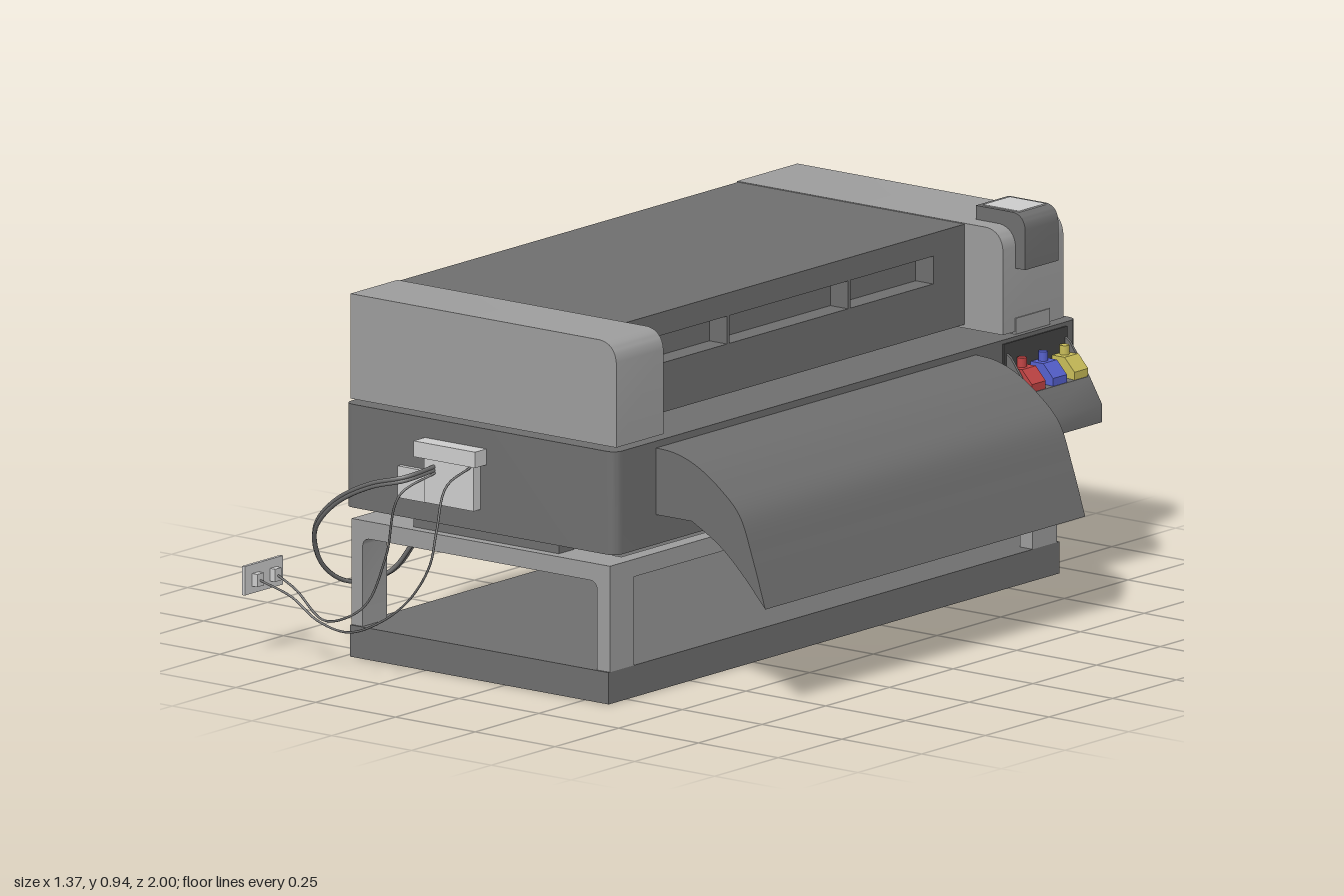
import * as THREE from 'three';
import { toCreasedNormals } from 'three/addons/utils/BufferGeometryUtils.js';

const mat = (color) => new THREE.MeshStandardMaterial({ color, side: THREE.DoubleSide });
const points2 = (list) => list.map((p) => new THREE.Vector2(...p));

export function createModel() {
  const model = new THREE.Group();
  const light = mat(0xcccccc), mid = mat(0x9c9c9c), dark = mat(0x6e6e6e), black = mat(0x444444);

  const add = (name, geometry, material) => {
    const mesh = new THREE.Mesh(geometry, material);
    mesh.name = name;
    model.add(mesh);
  };
  // box given by its extents
  const box = (name, [x0, x1], [y0, y1], [z0, z1], material) => add(name,
    new THREE.BoxGeometry(x1 - x0, y1 - y0, z1 - z0)
      .translate((x0 + x1) / 2, (y0 + y1) / 2, (z0 + z1) / 2), material);
  // xy shape extruded between two z values
  const slab = (name, shape, z0, z1, material) => {
    const g = new THREE.ExtrudeGeometry(shape, { depth: z1 - z0, bevelEnabled: false, curveSegments: 8 });
    add(name, toCreasedNormals(g.translate(0, 0, z0), 0.6), material);
  };
  // rectangle outline with rounded corners
  const trace = (path, x0, x1, y0, y1, r) => {
    path.moveTo(x0 + r, y0);
    path.lineTo(x1 - r, y0);
    path.quadraticCurveTo(x1, y0, x1, y0 + r);
    path.lineTo(x1, y1 - r);
    path.quadraticCurveTo(x1, y1, x1 - r, y1);
    path.lineTo(x0 + r, y1);
    path.quadraticCurveTo(x0, y1, x0, y1 - r);
    path.lineTo(x0, y0 + r);
    path.quadraticCurveTo(x0, y0, x0 + r, y0);
    return path;
  };

  // Base plate, hollow underneath
  box('baseTop', [-0.485, 0.325], [0.07, 0.08], [-0.95, 0.82], dark);
  for (const x of [[-0.485, -0.477], [0.317, 0.325]])
    box('baseSideWall', x, [0, 0.07], [-0.95, 0.82], dark);
  for (const z of [[-0.95, -0.942], [0.812, 0.82]])
    box('baseEndWall', [-0.477, 0.317], [0, 0.07], z, dark);

  // Stand: arched end frames joined by rails
  for (const [z0, z1] of [[-0.94, -0.845], [0.72, 0.815]]) {
    const frame = new THREE.Shape(points2([[-0.485, 0.08], [-0.45, 0.08], [-0.45, 0.28]]));
    frame.quadraticCurveTo(-0.45, 0.303, -0.425, 0.303);
    frame.lineTo(0.26, 0.303);
    frame.quadraticCurveTo(0.285, 0.303, 0.285, 0.28);
    frame.lineTo(0.285, 0.08);
    frame.lineTo(0.325, 0.08);
    frame.lineTo(0.325, 0.347);
    frame.lineTo(-0.485, 0.347);
    slab('standEndFrame', frame, z0, z1, mid);
  }
  for (const x of [[-0.485, -0.45], [0.285, 0.325]])
    box('standRail', x, [0.303, 0.347], [-0.845, 0.72], mid);
  for (const z of [[-0.95, -0.9], [0.73, 0.79]])
    box('bodyFoot', [-0.31, 0.145], [0.345, 0.38], z, dark);

  // Main body with rounded upright corners
  const bodyShape = trace(new THREE.Shape(), -0.508, 0.342, -0.815, 1, 0.03);
  const bodyGeometry = new THREE.ExtrudeGeometry(bodyShape, { depth: 0.26, bevelEnabled: false, curveSegments: 6 });
  add('body', toCreasedNormals(bodyGeometry.rotateX(-Math.PI / 2).translate(0, 0.375, 0), 0.6), dark);

  // Lid: middle block, deep slotted front panel and spacers
  box('lidMiddle', [-0.505, 0.15], [0.65, 0.903], [-0.73, 0.605], dark);
  const panel = trace(new THREE.Shape(), -0.605, 0.73, 0.65, 0.903, 0);
  for (const [a, b] of [[-0.515, -0.205], [-0.195, 0.27], [0.28, 0.605]])
    panel.holes.push(trace(new THREE.Path(), a, b, 0.775, 0.845, 0));
  const panelGeometry = new THREE.ExtrudeGeometry(panel, { depth: 0.055, bevelEnabled: false });
  add('lidFrontPanel', panelGeometry.rotateY(Math.PI / 2).translate(0.15, 0, 0), dark);
  for (const z of [[-0.66, -0.6], [0.52, 0.6]])
    box('lidSpacer', [-0.31, 0.01], [0.635, 0.652], z, dark);

  // Lid end caps; the one beside the display is a shell open at the back
  const capShape = (inset) => {
    const s = new THREE.Shape();
    s.moveTo(-0.508, 0.641 + inset);
    s.lineTo(0.325 - inset, 0.641 + inset);
    s.lineTo(0.325 - inset, 0.855);
    s.quadraticCurveTo(0.32 - inset, 0.9 - inset, 0.275, 0.905 - inset);
    s.lineTo(-0.508, 0.905 - inset);
    return s;
  };
  slab('leftCap', capShape(0), 0.605, 0.79, mid);
  slab('rightCapOuterWall', capShape(0), -0.965, -0.96, mid);
  slab('rightCapInnerWall', capShape(0), -0.733, -0.728, mid);
  const skin = new THREE.Shape([...capShape(0).getPoints(8), ...capShape(0.005).getPoints(8).reverse()]);
  slab('rightCapSkin', skin, -0.96, -0.733, mid);
  box('capLatch', [0.29, 0.328], [0.635, 0.675], [-0.91, -0.775], mid);

  // Control display wrapped over the cap edge
  const hood = new THREE.Shape(points2([[0.2, 0.9], [0.2, 0.94], [0.32, 0.94]]));
  hood.quadraticCurveTo(0.352, 0.935, 0.355, 0.9);
  hood.lineTo(0.355, 0.8);
  hood.lineTo(0.32, 0.8);
  hood.lineTo(0.32, 0.87);
  hood.lineTo(0.29, 0.9);
  slab('displayHood', hood, -0.908, -0.778, dark);
  box('displayScreen', [0.213, 0.326], [0.93, 0.942], [-0.896, -0.79], light);

  // Paper sheet curling out of the front
  const paper = new THREE.Shape();
  paper.moveTo(0.33, 0.618);
  paper.splineThru(points2([[0.4, 0.614], [0.47, 0.591], [0.54, 0.547], [0.605, 0.485], [0.645, 0.385], [0.685, 0.262]]));
  paper.splineThru(points2([[0.61, 0.342], [0.54, 0.402], [0.455, 0.45]]));
  paper.lineTo(0.33, 0.45);
  slab('paperSheet', paper, -0.6, 0.656, dark);

  // Ink tray with sloping cheeks between the cartridges
  const tray = new THREE.Shape(points2([[0.33, 0.4], [0.457, 0.4], [0.457, 0.445], [0.418, 0.51], [0.33, 0.515]]));
  slab('inkTray', tray, -0.952, -0.715, dark);
  const cheek = new THREE.Shape(points2([[0.33, 0.51], [0.418, 0.51], [0.36, 0.59], [0.33, 0.61]]));
  for (const z of [-0.952, -0.722]) slab('inkTrayCheek', cheek, z, z + 0.007, dark);
  box('inkBackPlate', [0.33, 0.346], [0.39, 0.625], [-0.955, -0.705], black);

  // Cartridges with round caps
  for (const [z, color] of [[-0.755, 0xc04444], [-0.838, 0x5560cc], [-0.922, 0xc8bc58]]) {
    const ink = mat(color);
    const tank = new THREE.Shape(points2([[0.34, 0.51], [0.416, 0.51], [0.416, 0.53], [0.385, 0.563], [0.34, 0.563]]));
    slab('inkCartridge', tank, z - 0.027, z + 0.027, ink);
    add('inkCap', new THREE.CylinderGeometry(0.012, 0.012, 0.025, 12).translate(0.363, 0.574, z), ink);
  }

  // Power connector on the side
  box('connectorBox', [-0.235, -0.08], [0.43, 0.55], [0.81, 0.843], light);
  box('connectorFlange', [-0.255, -0.062], [0.545, 0.585], [0.81, 0.86], light);
  box('connectorSideBox', [-0.33, -0.235], [0.425, 0.505], [0.81, 0.828], light);

  // Wall socket plate with two plugs
  box('socketPlate', [-0.687, -0.678], [0.157, 0.23], [0.842, 0.992], light);
  for (const z of [0.88, 0.95])
    box('plug', [-0.68, -0.662], [0.175, 0.207], [z - 0.013, z + 0.013], light);

  // Cables
  const cable = (name, points, radius) => add(name, new THREE.TubeGeometry(
    new THREE.CatmullRomCurve3(points.map((p) => new THREE.Vector3(...p)), false, 'centripetal'), 60, radius, 8), dark);
  for (const d of [0, 0.009])
    cable('thickCable', [[-0.205, 0.515 + d, 0.84], [-0.225, 0.502 + d, 0.93], [-0.32, 0.475 + d, 0.948],
      [-0.46, 0.402 + d, 0.92], [-0.54, 0.32 + d, 0.89], [-0.572 + d, 0.22, 0.82 + d], [-0.55 + d, 0.168, 0.75],
      [-0.47, 0.19, 0.68 + d], [-0.41, 0.27, 0.66 + d], [-0.36, 0.385, 0.65]], 0.0055);
  cable('thinCable', [[-0.665, 0.19, 0.95], [-0.56, 0.165, 0.957], [-0.47, 0.12, 0.967], [-0.37, 0.107, 0.975],
    [-0.26, 0.15, 0.985], [-0.16, 0.225, 0.993], [-0.095, 0.32, 0.996], [-0.095, 0.4, 0.97],
    [-0.112, 0.5, 0.91], [-0.09, 0.54, 0.84]], 0.003);
  cable('thinCable', [[-0.665, 0.19, 0.88], [-0.6, 0.165, 0.89], [-0.49, 0.11, 0.92], [-0.42, 0.125, 0.92],
    [-0.36, 0.17, 0.91], [-0.3, 0.3, 0.91], [-0.25, 0.46, 0.92], [-0.2, 0.51, 0.84]], 0.003);

  return model;
}
